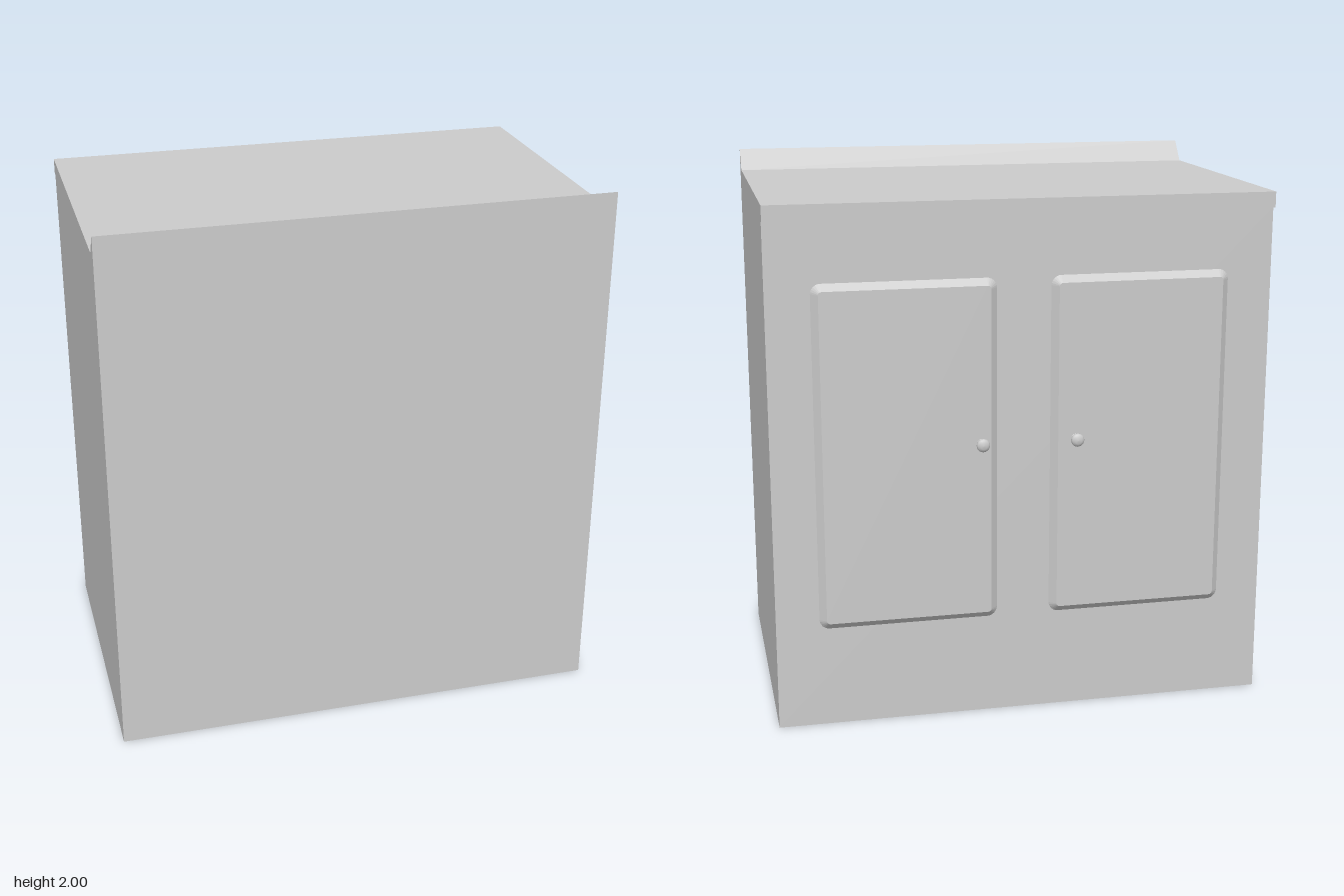
import * as THREE from 'three';

const material = new THREE.MeshStandardMaterial({ color: 0xcccccc });

const WIDTH = 1.834;
const CARCASS_Z = -0.538; // plane the doors sit on
const DOOR_Z = -0.561; // outer face of the doors

function addMesh(parent, name, geometry) {
  const mesh = new THREE.Mesh(geometry, material);
  mesh.name = name;
  parent.add(mesh);
  return mesh;
}

// Rectangle centred on the origin with small rounded corners
function roundedRect(w, h, r) {
  const s = new THREE.Shape();
  const x = w / 2, y = h / 2;
  s.moveTo(-x + r, -y);
  s.lineTo(x - r, -y);
  s.absarc(x - r, -y + r, r, -Math.PI / 2, 0);
  s.lineTo(x, y - r);
  s.absarc(x - r, y - r, r, 0, Math.PI / 2);
  s.lineTo(-x + r, y);
  s.absarc(-x + r, y - r, r, Math.PI / 2, Math.PI);
  s.lineTo(-x, -y + r);
  s.absarc(-x + r, -y + r, r, Math.PI, Math.PI * 1.5);
  return s;
}

export function createModel() {
  const model = new THREE.Group();
  model.name = 'cabinet';

  // Carcass, worktop lip and sloped splashback share one side profile (-z, y)
  const profile = new THREE.Shape([
    [-0.6, 0], [-CARCASS_Z, 0], [-CARCASS_Z, 1.864], [0.559, 1.864],
    [0.559, 1.922], [-0.535, 1.922], [-0.6, 2],
  ].map(([a, b]) => new THREE.Vector2(a, b)));
  const body = new THREE.ExtrudeGeometry(profile, { depth: WIDTH, bevelEnabled: false });
  body.translate(0, 0, -WIDTH / 2).rotateY(Math.PI / 2);
  addMesh(model, 'carcassAndWorktop', body);

  // Bevelled door panel: the bevel widens from the outer face to the carcass
  const thickness = CARCASS_Z - DOOR_Z;
  const door = new THREE.ExtrudeGeometry(roundedRect(0.608, 1.22, 0.012), {
    depth: 0.004, curveSegments: 3,
    bevelThickness: thickness, bevelSize: 0.025, bevelSegments: 1,
  });
  door.translate(0, 0, -0.004 - thickness).rotateY(Math.PI);

  // Turned knob, standing out from the door
  const knob = new THREE.LatheGeometry([
    [0.018, 0], [0.014, 0.004], [0.012, 0.01], [0.018, 0.015], [0.024, 0.021],
    [0.0245, 0.027], [0.021, 0.033], [0.012, 0.038], [0, 0.039],
  ].map(([r, y]) => new THREE.Vector2(r, y)), 16);
  knob.rotateX(-Math.PI / 2);

  for (const [side, doorX, knobX] of [['left', 0.43, 0.161], ['right', -0.425, -0.187]]) {
    addMesh(model, side + 'Door', door).position.set(doorX, 1.01, DOOR_Z);
    // The bevelled panel is built around its outer face
    addMesh(model, side + 'Knob', knob).position.set(knobX, 1.047, DOOR_Z);
  }

  // Door geometry's outer face is at local z = 0
  return model;
}
